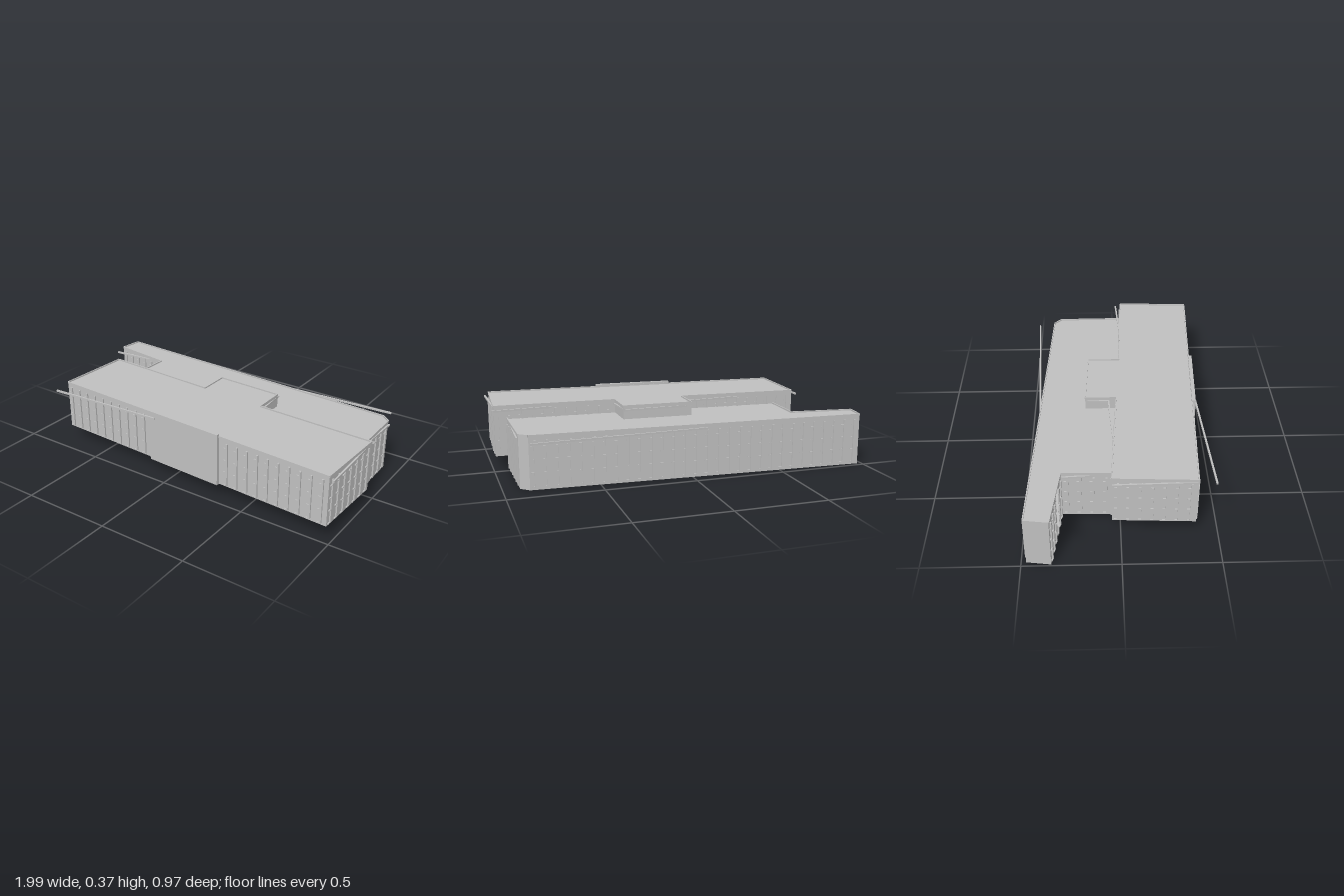
import * as THREE from 'three';

export function createModel() {
  const model = new THREE.Group();
  const grey = new THREE.MeshStandardMaterial({ color: 0xc0c0c0, side: THREE.DoubleSide });
  grey.name = 'pale grey';

  const add = (parent, geometry, name) => {
    const mesh = new THREE.Mesh(geometry, grey);
    mesh.name = name;
    parent.add(mesh);
    return mesh;
  };

  // Box running between two plan points, optionally pushed sideways
  const strip = (parent, name, a, b, y0, y1, depth, push = 0) => {
    const dx = b[0] - a[0], dz = b[1] - a[1], len = Math.hypot(dx, dz);
    const mesh = add(parent, new THREE.BoxGeometry(len, y1 - y0, depth), name);
    mesh.position.set(
      (a[0] + b[0]) / 2 + (dz / len) * push,
      (y0 + y1) / 2,
      (a[1] + b[1]) / 2 - (dx / len) * push
    );
    mesh.rotation.y = -Math.atan2(dz, dx);
    return mesh;
  };

  // Thin upright wall
  const wall = (parent, a, b, y0, y1) => {
    const len = Math.hypot(b[0] - a[0], b[1] - a[1]);
    const mesh = add(parent, new THREE.PlaneGeometry(len, y1 - y0), 'wall');
    mesh.position.set((a[0] + b[0]) / 2, (y0 + y1) / 2, (a[1] + b[1]) / 2);
    mesh.rotation.y = Math.PI - Math.atan2(b[1] - a[1], b[0] - a[0]);
  };

  // Evenly spaced fins with short sills between them
  const facade = (parent, a, b, y0, y1, rows) => {
    const len = Math.hypot(b[0] - a[0], b[1] - a[1]);
    const count = Math.round(len / 0.062);
    const at = (d) => [a[0] + ((b[0] - a[0]) * d) / len, a[1] + ((b[1] - a[1]) * d) / len];
    for (let i = 0; i < count; i++) {
      const d = ((i + 0.5) * len) / count;
      strip(parent, 'fin', at(d - 0.005), at(d + 0.005), y0, y1, 0.012, 0.002);
      for (const y of rows) {
        strip(parent, 'windowSill', at(d + 0.006), at(d + 0.02), y - 0.003, y + 0.003, 0.01, 0.001);
      }
    }
  };

  // Flat roof set just below the wall tops
  const roof = (parent, points, y) => {
    const shape = new THREE.Shape(points.map(([x, z]) => new THREE.Vector2(x, -z)));
    const mesh = add(parent, new THREE.ShapeGeometry(shape), 'roof');
    mesh.rotation.x = -Math.PI / 2;
    mesh.position.y = y;
  };

  // Block from a plan outline; finned and shared list edge numbers
  const block = (name, points, o) => {
    const group = new THREE.Group();
    group.name = name;
    points.forEach((a, i) => {
      const b = points[(i + 1) % points.length];
      const top = o.shared.includes(i) ? o.sharedTop : o.top;
      wall(group, a, b, o.base, top);
      if (top === o.top) strip(group, 'parapet', a, b, top - 0.012, top, 0.006);
      if (o.finned.includes(i)) facade(group, a, b, o.base + 0.01, o.top - 0.03, o.rows);
    });
    roof(group, points, o.top - 0.008);
    model.add(group);
  };

  // Raised front block
  block('upperBlock', [
    [-0.765, -0.045], [-0.08, -0.005], [-0.08, -0.18], [0.31, -0.165],
    [0.31, 0.02], [0.985, 0.045], [0.968, 0.47], [-0.785, 0.385]
  ], {
    base: 0.075, top: 0.36, finned: [0, 4, 5, 6, 7], shared: [], sharedTop: 0,
    rows: [0.085, 0.16, 0.23, 0.3]
  });

  // Rear block, fitted around the raised one
  block('lowerBlock', [
    [-0.975, -0.475], [0.865, -0.387], [0.91, -0.345], [0.915, 0.047],
    [0.31, 0.02], [0.31, -0.165], [-0.08, -0.18], [-0.08, -0.005],
    [-0.645, -0.035], [-0.637, -0.305], [-0.992, -0.35]
  ], {
    base: 0, top: 0.29, finned: [0, 2, 8, 9], shared: [3, 4, 5, 6, 7], sharedTop: 0.08,
    rows: [0.015, 0.09, 0.16, 0.23]
  });

  // Blank panel on the front
  strip(model, 'frontPanel', [0.32, 0.446], [-0.14, 0.424], 0.073, 0.37, 0.02);

  // Slender bars near the roof edges
  const bars = [
    [-0.79, 0.475, -0.1, 0.438, 0.335],
    [0.99, 0.47, 0.978, 0.05, 0.335],
    [-0.782, 0.38, -0.792, -0.045, 0.335],
    [0.67, 0.032, 0.99, 0.014, 0.335],
    [-0.42, -0.03, -0.08, -0.05, 0.335],
    [-0.08, -0.174, 0.31, -0.18, 0.335],
    [-0.075, -0.18, -0.088, -0.05, 0.335],
    [0.305, -0.17, 0.318, 0.01, 0.335],
    [-0.08, -0.435, 0.87, -0.483, 0.265],
    [0.918, -0.345, 0.908, 0.0, 0.265],
    [-1.0, -0.302, -0.65, -0.327, 0.265],
    [-0.648, -0.3, -0.632, -0.05, 0.265]
  ];
  for (const [x1, z1, x2, z2, y] of bars) {
    strip(model, 'eavesBar', [x1, z1], [x2, z2], y - 0.005, y + 0.005, 0.009);
  }
  return model;
}
